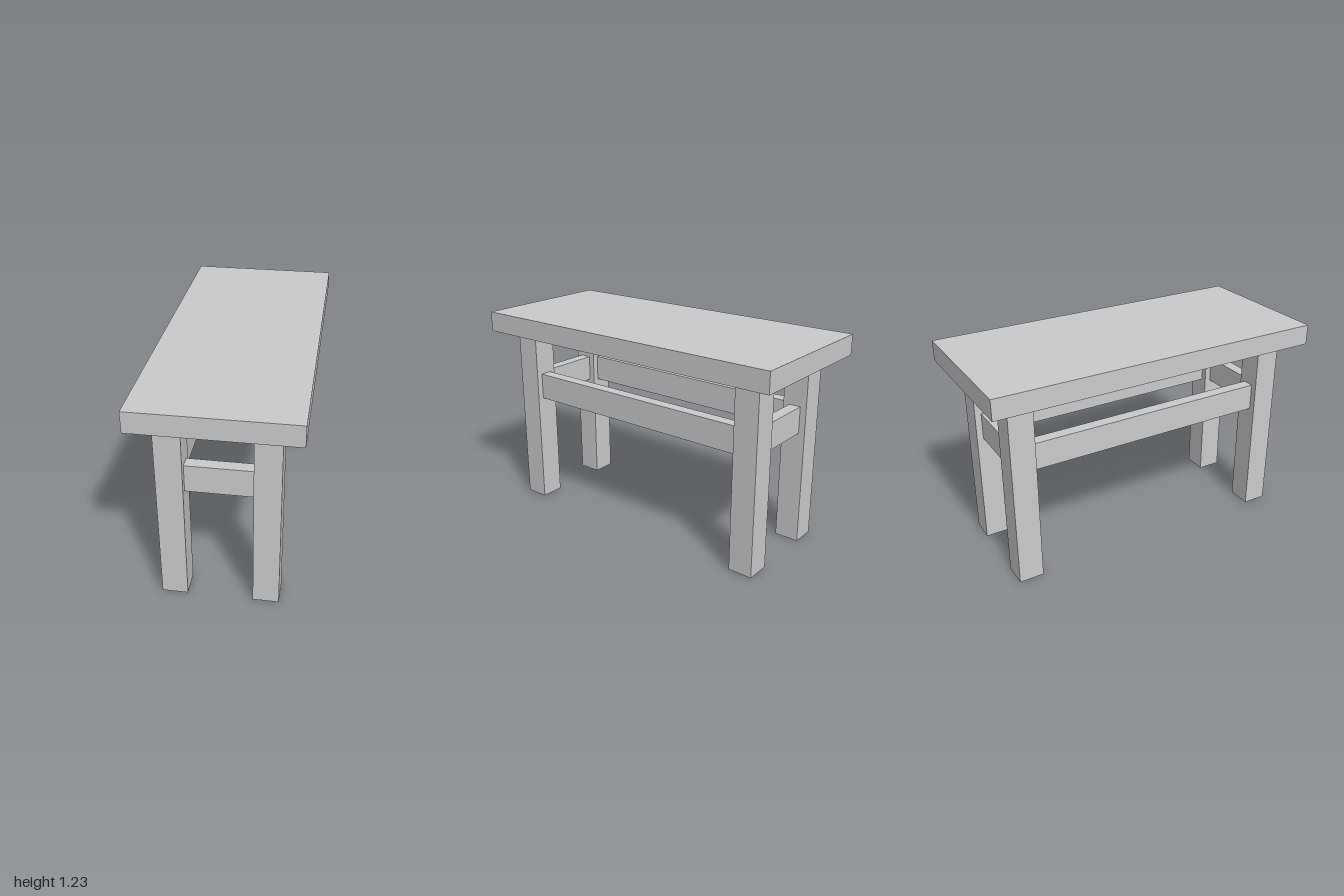
import * as THREE from 'three';

const material = new THREE.MeshStandardMaterial({ color: 0xcccccc, flatShading: true });

export function createModel() {
  const model = new THREE.Group();
  model.name = 'bench';

  const addBox = (name, w, h, d, x, y, z) => {
    const mesh = new THREE.Mesh(new THREE.BoxGeometry(w, h, d), material);
    mesh.name = name;
    mesh.position.set(x, y, z);
    model.add(mesh);
  };

  const topHeight = 1.23, topThickness = 0.12;
  const legHeight = topHeight - topThickness;
  const legSize = 0.145, legX = 0.256, legZ = 0.808;
  const railY = 0.76, railHeight = 0.16, railThickness = 0.07;

  // Slab top
  addBox('top', 0.884, topThickness, 2, 0, topHeight - topThickness / 2, 0);

  for (const side of [1, -1]) {
    const sideName = side > 0 ? 'left' : 'right';
    const endName = side > 0 ? 'front' : 'back';

    // Square legs, one pair per long side
    addBox(sideName + 'FrontLeg', legSize, legHeight, legSize, side * legX, legHeight / 2, legZ);
    addBox(sideName + 'BackLeg', legSize, legHeight, legSize, side * legX, legHeight / 2, -legZ);

    // Rails centred on the legs, running from leg face to leg face
    addBox(sideName + 'Rail', railThickness, railHeight, 2 * legZ - legSize, side * legX, railY, 0);
    addBox(endName + 'Rail', 2 * legX - legSize, railHeight, railThickness, 0, railY, side * legZ);
  }

  return model;
}
